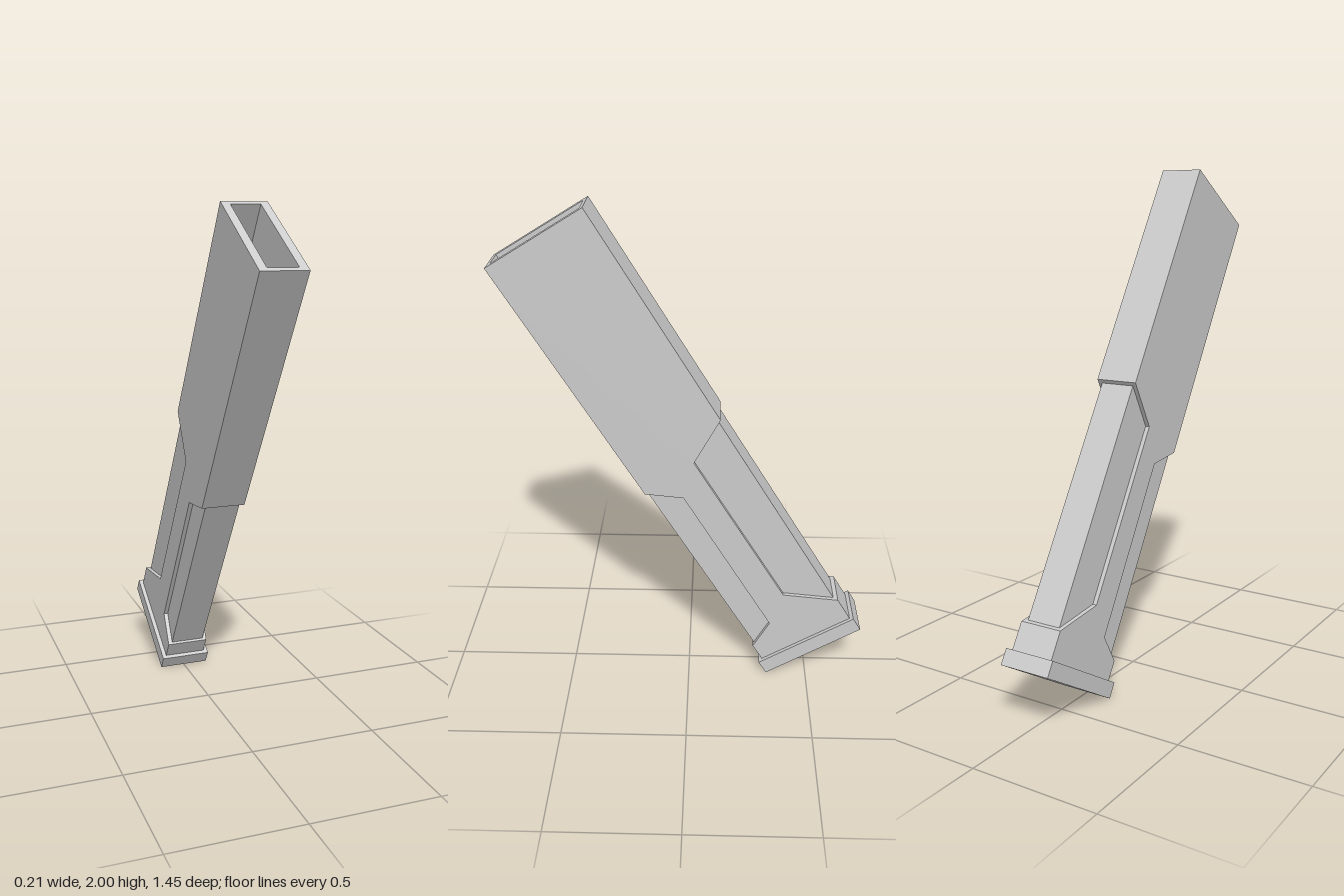
import * as THREE from 'three';

const TILT = 0.546; // lean of the whole magazine toward the front
const LENGTH = 2.07, HALF_DEPTH = 0.211, HALF_WIDTH = 0.087;
const POCKET = 0.154; // depth of the open top

export function createModel() {
  const model = new THREE.Group();
  model.name = 'magazine';
  const material = new THREE.MeshStandardMaterial({ color: 0xcccccc, flatShading: true });

  const body = new THREE.Group();
  body.name = 'tiltedBody';
  body.rotation.x = TILT;
  body.position.set(0, 0.12, -0.526);
  model.add(body);

  const add = (name, geometry, y = 0, z = 0) => {
    const mesh = new THREE.Mesh(geometry, material);
    mesh.name = name;
    mesh.position.set(0, y, z);
    body.add(mesh);
  };
  const rectangle = (Type, w, h) =>
    new Type([[-w, -h], [w, -h], [w, h], [-w, h]].map(([x, y]) => new THREE.Vector2(x, y)));

  // Outer sheath: side profile in (z, y) with a recess cut into each edge
  const profile = [
    [HALF_DEPTH, LENGTH - POCKET], [-HALF_DEPTH, LENGTH - POCKET],
    [-HALF_DEPTH, 1.128], [-0.028, 1.022], [-0.028, 0.305], [-HALF_DEPTH, 0.168],
    [-HALF_DEPTH, 0.06], [HALF_DEPTH, 0.06],
    [HALF_DEPTH, 0.14], [0.092, 0.207], [0.088, 0.909], [HALF_DEPTH, 1.002],
  ].map(([z, y]) => new THREE.Vector2(z, y));
  const sheath = new THREE.ExtrudeGeometry(new THREE.Shape(profile), {
    depth: HALF_WIDTH * 2, bevelEnabled: false,
  });
  sheath.translate(0, 0, -HALF_WIDTH).rotateY(-Math.PI / 2);
  add('sheath', sheath);

  // Hollow collar forming the open top
  const rim = rectangle(THREE.Shape, HALF_WIDTH, HALF_DEPTH);
  rim.holes.push(rectangle(THREE.Path, 0.056, 0.193));
  const collar = new THREE.ExtrudeGeometry(rim, { depth: POCKET, bevelEnabled: false });
  collar.rotateX(-Math.PI / 2);
  add('topCollar', collar, LENGTH - POCKET);

  // Inner core showing through the recesses
  add('innerCore', new THREE.BoxGeometry(0.14, 1.2, 0.4), 0.66, 0.003);

  // Base plate
  add('basePlate', new THREE.BoxGeometry(0.208, 0.062, 0.454), 0.031);

  return model;
}
